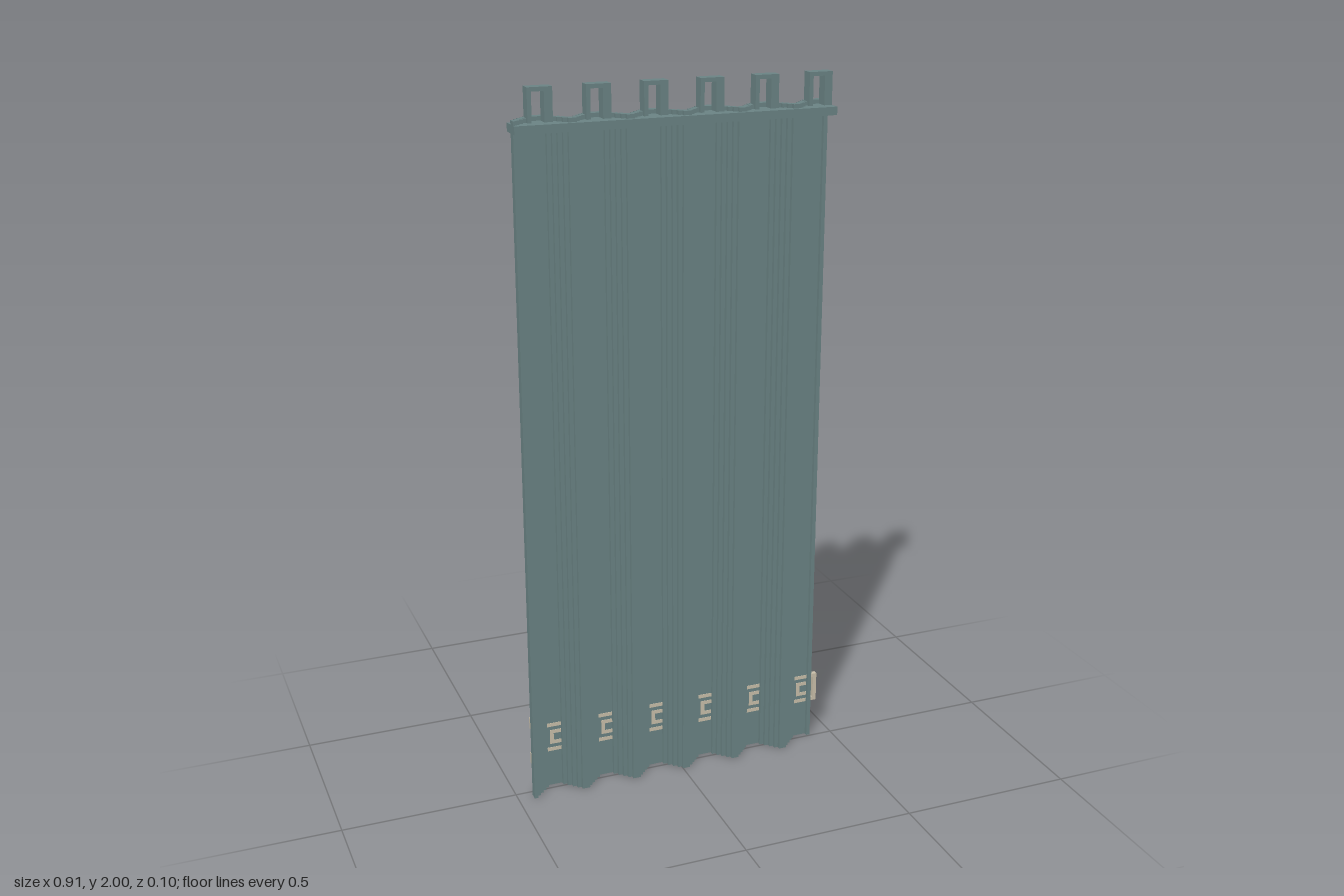
import * as THREE from 'three';

const U = 1 / 90;            // one block
const X0 = -41, COLS = 80, PERIOD = 14;
const STEPS = [-3.5, -3.5, -2.5, -1.5, -0.5, 0.5, 1.5]; // back of the cloth, fold crest to valley

const backOf = (i) => STEPS[Math.floor(Math.abs((i % PERIOD) + 0.5 - 7))];

export function createModel() {
  const cloth = new THREE.MeshStandardMaterial({ color: 0x6b8485 });
  cloth.name = 'greyTealCloth';
  const trim = new THREE.MeshStandardMaterial({ color: 0xcbc1ab });
  trim.name = 'beigeTrim';

  const root = new THREE.Group();
  root.name = 'curtain';

  // Box given by its corners in blocks
  function box(parent, name, mat, x0, x1, y0, y1, z0, z1) {
    const mesh = new THREE.Mesh(new THREE.BoxGeometry((x1 - x0) * U, (y1 - y0) * U, (z1 - z0) * U), mat);
    mesh.position.set((x0 + x1) / 2 * U, (y0 + y1) / 2 * U, (z0 + z1) / 2 * U);
    mesh.name = name;
    parent.add(mesh);
  }

  // Stepped sheet following the folds, extruded upwards
  function foldedSheet(name, mat, y0, y1, backShift, frontShift, inset = 0) {
    const front = [], back = [];
    for (let i = 0; i < COLS; i++) {
      const a = X0 + i + (i === 0 ? inset : 0);
      const b = X0 + i + 1 - (i === COLS - 1 ? inset : 0);
      for (const x of [a, b]) {
        front.push(new THREE.Vector2(x * U, -(backOf(i) + frontShift) * U));
        back.push(new THREE.Vector2(x * U, -(backOf(i) + backShift) * U));
      }
    }
    // drop repeated points on flat runs
    const outline = [...front, ...back.reverse()].filter((p, i, all) => i === 0 || !p.equals(all[i - 1]));
    const geo = new THREE.ExtrudeGeometry(new THREE.Shape(outline), { depth: (y1 - y0) * U, bevelEnabled: false });
    geo.rotateX(-Math.PI / 2);
    geo.translate(0, y0 * U, 0);
    const mesh = new THREE.Mesh(geo, mat);
    mesh.name = name;
    root.add(mesh);
  }

  foldedSheet('foldedCloth', cloth, 0, 173, 0, 2);
  foldedSheet('lowerTrimBand', trim, 9, 12, -1, 0.5, 0.02);
  foldedSheet('upperTrimBand', trim, 19, 22, -1, 0.5, 0.02);

  // Header rail in two strips
  box(root, 'headerRailFront', cloth, X0, X0 + COLS, 170, 172, 1.5, 4.5);
  box(root, 'headerRailBack', cloth, X0, X0 + COLS, 170, 172, -1.5, 1.5);

  for (let k = 0; k < 6; k++) {
    const c = X0 + 7 + k * PERIOD;

    // Hanging loop
    const loop = new THREE.Group();
    loop.name = 'hangingLoop';
    const right = Math.min(c + 3, X0 + COLS);
    box(loop, 'loopPost', cloth, c - 3, c - 2, 172, 179, -1.5, 1.5);
    box(loop, 'loopPost', cloth, right - 2, right, 172, 179, -1.5, 1.5);
    box(loop, 'loopTop', cloth, c - 3, right, 179, 180, -1.5, 1.5);
    root.add(loop);

    // Woven key pattern, flat through the fold crest
    const key = new THREE.Group();
    key.name = 'keyPattern';
    const bar = (x0, x1, y0, y1) => box(key, 'keyBar', trim, c + x0, c + x1, y0, y1, -2.6, -1.4);
    bar(-2, 5, 17, 18);
    bar(-2, 5, 10, 11);
    bar(4, 5, 11, 17);
    bar(-1, 3, 15, 16);
    bar(-1, 3, 12, 13);
    bar(-1, 0, 13, 15);
    root.add(key);
  }
  return root;
}
